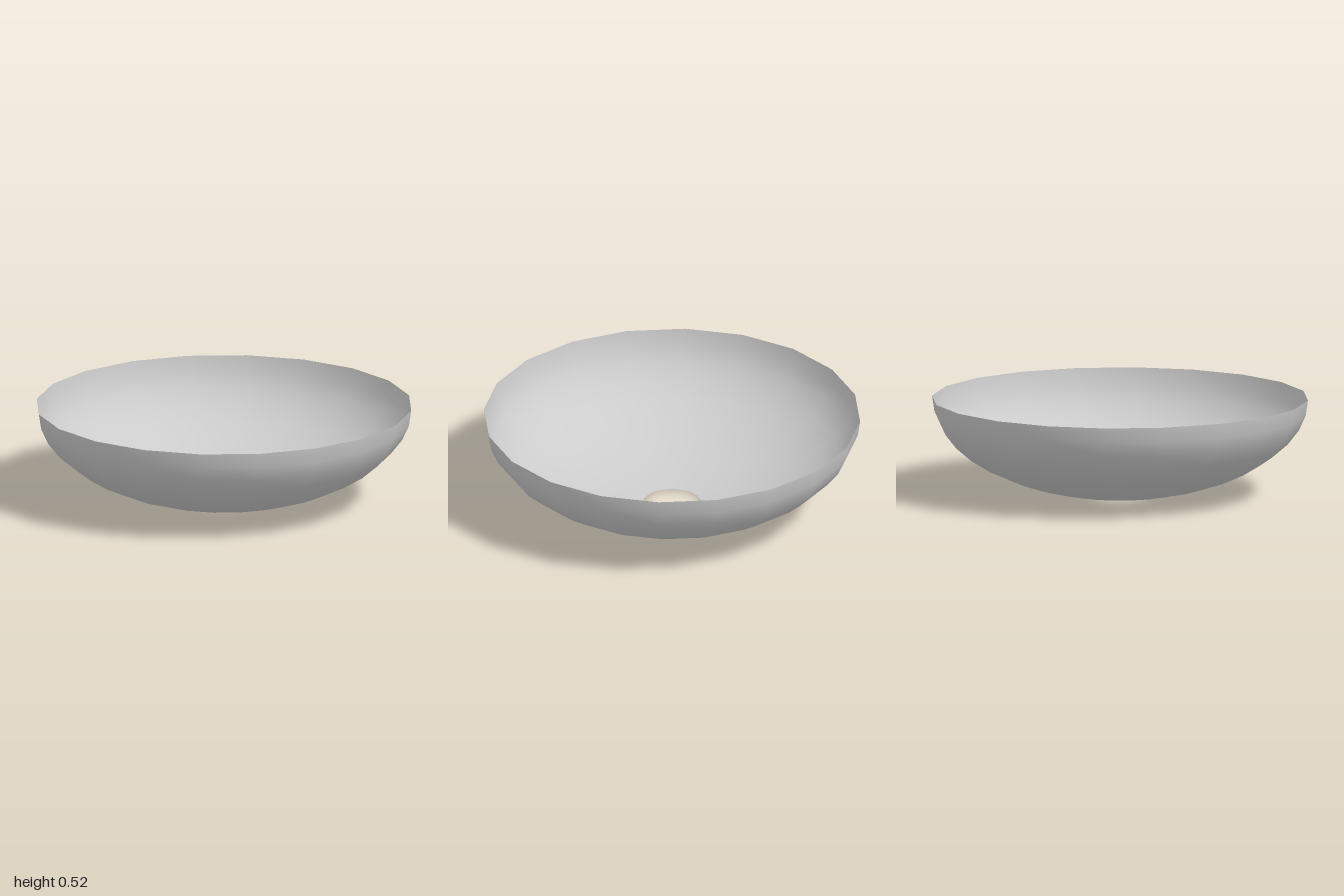
import * as THREE from 'three';

export function createModel() {
  const group = new THREE.Group();
  group.name = 'bowl';

  // Quarter-ellipse profile in 9 degree steps, from the drain hole up to the rim
  const step = Math.PI / 20;
  const depth = 0.527;
  const rimHeight = depth * Math.cos(step);
  const profile = [];
  for (let i = 1; i <= 10; i++) {
    const a = i * step;
    profile.push(new THREE.Vector2(Math.sin(a), rimHeight - depth * Math.cos(a)));
  }

  // Thin smooth shell, 20 sides, open at the rim and at the bottom
  const shell = new THREE.Mesh(
    new THREE.LatheGeometry(profile, 20),
    new THREE.MeshStandardMaterial({ color: 0xcccccc, side: THREE.DoubleSide })
  );
  shell.name = 'bowlShell';
  group.add(shell);
  return group;
}
